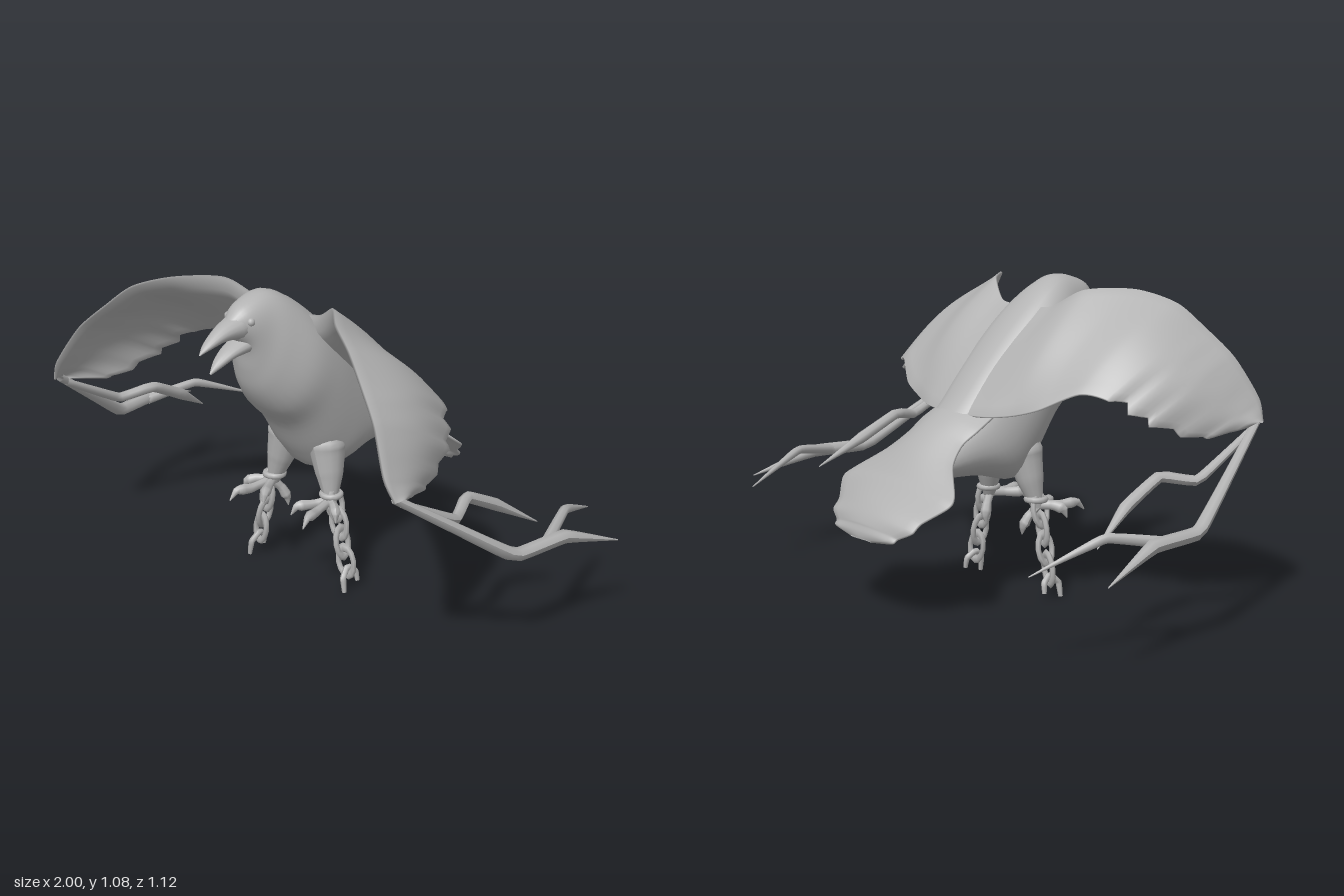
import * as THREE from 'three';

const feather = new THREE.MeshStandardMaterial({ color: 0xb2b2b2, side: THREE.DoubleSide });
feather.name = 'grey';

const curveOf = (pts, tension = 0.5) =>
  new THREE.CatmullRomCurve3(pts.map(p => new THREE.Vector3(...p)), false, 'catmullrom', tension);

function mesh(name, geometry, parent) {
  const m = new THREE.Mesh(geometry, feather);
  m.name = name;
  parent.add(m);
  return m;
}

// Skin closed rings of equal length
function loft(rings) {
  const n = rings[0].length, index = [];
  for (let i = 0; i < rings.length - 1; i++) {
    for (let j = 0; j < n; j++) {
      const k = (j + 1) % n, a = i * n, b = a + n;
      index.push(a + j, a + k, b + j, a + k, b + k, b + j);
    }
  }
  const g = new THREE.BufferGeometry();
  g.setAttribute('position', new THREE.Float32BufferAttribute(rings.flat().flatMap(p => p.toArray()), 3));
  g.setIndex(index);
  g.computeVertexNormals();
  return g;
}

// Rounded form from rows of [top z, top y, bottom z, bottom y, half width], front to back
function hull(rows, steps, sides = 28) {
  const top = curveOf(rows.map(r => [r[4], r[1], r[0]]));
  const bottom = curveOf(rows.map(r => [0, r[3], r[2]]));
  const rings = [];
  for (let i = 0; i <= steps; i++) {
    const t = top.getPoint(i / steps), b = bottom.getPoint(i / steps), w = Math.max(t.x, 0.002);
    const ring = [];
    for (let j = 0; j < sides; j++) {
      const a = j / sides * Math.PI * 2, c = (1 + Math.cos(a)) / 2, s = Math.sin(a);
      ring.push(new THREE.Vector3(w * Math.sign(s) * Math.abs(s) ** 0.88, b.y + (t.y - b.y) * c, b.z + (t.z - b.z) * c));
    }
    rings.push(ring);
  }
  return loft(rings);
}

// Cambered plumage sheet between a leading and a trailing curve
function plumage(lead, trail, steps, bulge, thick, notch) {
  const A = curveOf(lead, 0.4), B = curveOf(trail, 0.4), m = 12, rings = [];
  for (let i = 0; i <= steps; i++) {
    const u = i / steps, a = A.getPoint(u), b = B.getPoint(u);
    const span = A.getTangent(u).add(B.getTangent(u));
    const up = span.cross(b.clone().sub(a)).normalize();
    b.lerp(a, notch(u, i));
    const at = (s, h) => a.clone().lerp(b, s).addScaledVector(up, h);
    const ring = [];
    for (let j = 0; j <= m; j++) {
      const s = j / m;
      ring.push(at(s, bulge(u) * Math.sin(Math.PI * s) - thick(u) * Math.sqrt(s) * (1 - s) * 2 - 0.004));
    }
    for (let j = m; j >= 0; j--) {
      const s = j / m;
      ring.push(at(s, bulge(u) * Math.sin(Math.PI * s) + 0.004));
    }
    rings.push(ring);
  }
  return loft(rings);
}

// Tapered limb following points, radii spread evenly along it
function limb(pts, radii, sides = 7) {
  const n = 24, curve = curveOf(pts, 0.12);
  const g = new THREE.TubeGeometry(curve, n, 1, sides);
  const pos = g.attributes.position, v = new THREE.Vector3();
  for (let k = 0; k < pos.count; k++) {
    const t = Math.floor(k / (sides + 1)) / n, c = curve.getPointAt(t);
    const f = t * (radii.length - 1), i = Math.min(Math.floor(f), radii.length - 2);
    v.fromBufferAttribute(pos, k).sub(c).multiplyScalar(radii[i] + (radii[i + 1] - radii[i]) * (f - i)).add(c);
    pos.setXYZ(k, v.x, v.y, v.z);
  }
  g.computeVertexNormals();
  return g;
}

// Everything on one side of the bird
function makeSide(name) {
  const side = new THREE.Group();
  side.name = name;

  // Wing with ragged outer feathers, its root buried in the back
  mesh('wing', plumage(
    [[0, .975, .14], [.13, .985, .145], [.24, 1.048, .2], [.36, 1.052, .32], [.48, 1.012, .395],
      [.57, .935, .44], [.66, .845, .485], [.735, .715, .527], [.77, .64, .515]],
    [[0, .64, -.19], [.155, .645, -.165], [.26, .66, -.13], [.36, .69, -.1], [.48, .75, -.03],
      [.57, .735, .02], [.65, .66, .1], [.71, .6, .28], [.765, .63, .46]],
    72, u => 0.035 * Math.sin(Math.PI * u ** 0.7) + 0.015 * u, u => 0.1 * (1 - u) ** 2 + 0.006,
    (u, i) => (u > 0.62 && u < 0.98 ? [0, 0.03, 0.055, 0.08, 0.04][i % 5] : 0)), side);

  // Bare branches trailing from the wing tip
  mesh('mainBranch', limb([[.755, .645, .5], [.84, .49, .28], [.91, .36, .09], [.94, .355, -.13], [1, .28, -.36]],
    [.014, .018, .023, .024, .002]), side);
  mesh('forkBranch', limb([[.925, .355, -.06], [.86, .385, -.25], [.79, .29, -.49]], [.02, .015, .002]), side);
  mesh('innerBranch', limb([[.76, .62, .47], [.77, .485, .22], [.72, .505, .1], [.73, .43, -.05], [.78, .33, -.21]],
    [.012, .016, .019, .021, .002]), side);

  // Leg and spread toes
  mesh('thigh', limb([[.08, .6, .05], [.095, .48, .06], [.115, .39, .07], [.135, .3, .085]],
    [.03, .066, .048, .02], 14), side);
  const toes = [
    [[.135, .31, .09], [.15, .3, .18], [.165, .305, .235], [.17, .275, .265]],
    [[.135, .31, .09], [.1, .305, .15], [.075, .305, .19], [.065, .275, .21]],
    [[.135, .31, .09], [.18, .31, .12], [.205, .3, .14], [.215, .27, .15]],
    [[.135, .31, .09], [.115, .27, .06], [.105, .235, .045], [.1, .205, .045]],
  ];
  toes.forEach(t => mesh('toe', limb(t, [.018, .015, .019, .002]), side));

  // Ankle cuff and hanging chain, the last link broken open
  const cuff = mesh('cuff', new THREE.TorusGeometry(.032, .011, 8, 14), side);
  cuff.position.set(.132, .33, .08);
  cuff.rotation.x = Math.PI / 2;
  [[.155, .295], [.168, .232], [.182, .165], [.2, .098]].forEach(([x, y], i) => {
    const link = mesh('chainLink', new THREE.TorusGeometry(.03, .01, 6, 12), side);
    link.scale.y = 1.7;
    link.position.set(x, y, .08);
    link.rotation.set(0, i % 2 ? 0.2 : Math.PI / 2, 0.2, 'ZYX');
  });
  mesh('brokenLink', limb([[.224, 0, .115], [.216, .05, .112], [.207, .08, .08], [.216, .055, .048], [.222, .02, .045]],
    [.008, .011, .011, .011, .008]), side);

  // Eye
  const eye = mesh('eye', new THREE.SphereGeometry(.014, 12, 8), side);
  eye.position.set(.05, 1.005, .375);
  return side;
}

export function createModel() {
  const bird = new THREE.Group();
  bird.name = 'bird';

  // Head and body in one skin
  mesh('body', hull([
    [.425, 1.015, .405, .945, .03], [.375, 1.055, .37, .9, .062], [.28, 1.08, .355, .82, .09],
    [.2, 1.055, .33, .74, .125], [.1, .98, .275, .66, .165], [0, .885, .2, .585, .174],
    [-.1, .775, .125, .465, .172], [-.18, .68, .045, .39, .163], [-.26, .6, -.11, .42, .14],
    [-.36, .51, -.31, .425, .1], [-.44, .42, -.42, .4, .004]], 50), bird);

  // Open beak
  mesh('upperBeak', hull([[.56, .93, .556, .927, .002], [.53, .96, .52, .938, .018],
    [.47, .998, .45, .95, .034], [.395, 1.026, .375, .94, .052]], 12, 14), bird);
  mesh('lowerBeak', hull([[.515, .856, .508, .85, .003], [.485, .89, .47, .866, .02],
    [.44, .92, .42, .885, .034], [.37, .95, .35, .89, .048]], 12, 14), bird);

  // Arched tail: narrow rump flaring to a broad fan with stepped feather tips
  const edge = [[.15, .64, -.12], [.155, .6, -.19], [.15, .56, -.25], [.185, .505, -.315], [.285, .43, -.385],
    [.3, .4, -.42], [.235, .345, -.48], [.225, .315, -.51], [.175, .29, -.53], [.16, .275, -.545], [.06, .262, -.555]];
  mesh('tail', plumage(edge, edge.map(([x, y, z]) => [-x, y, z]), 60,
    u => 0.008 + 0.042 * (1 - u ** 3), () => 0.012, () => 0), bird);

  // Mirrored sides
  const left = makeSide('leftSide'), right = makeSide('rightSide');
  right.scale.x = -1;
  bird.add(left, right);
  return bird;
}
